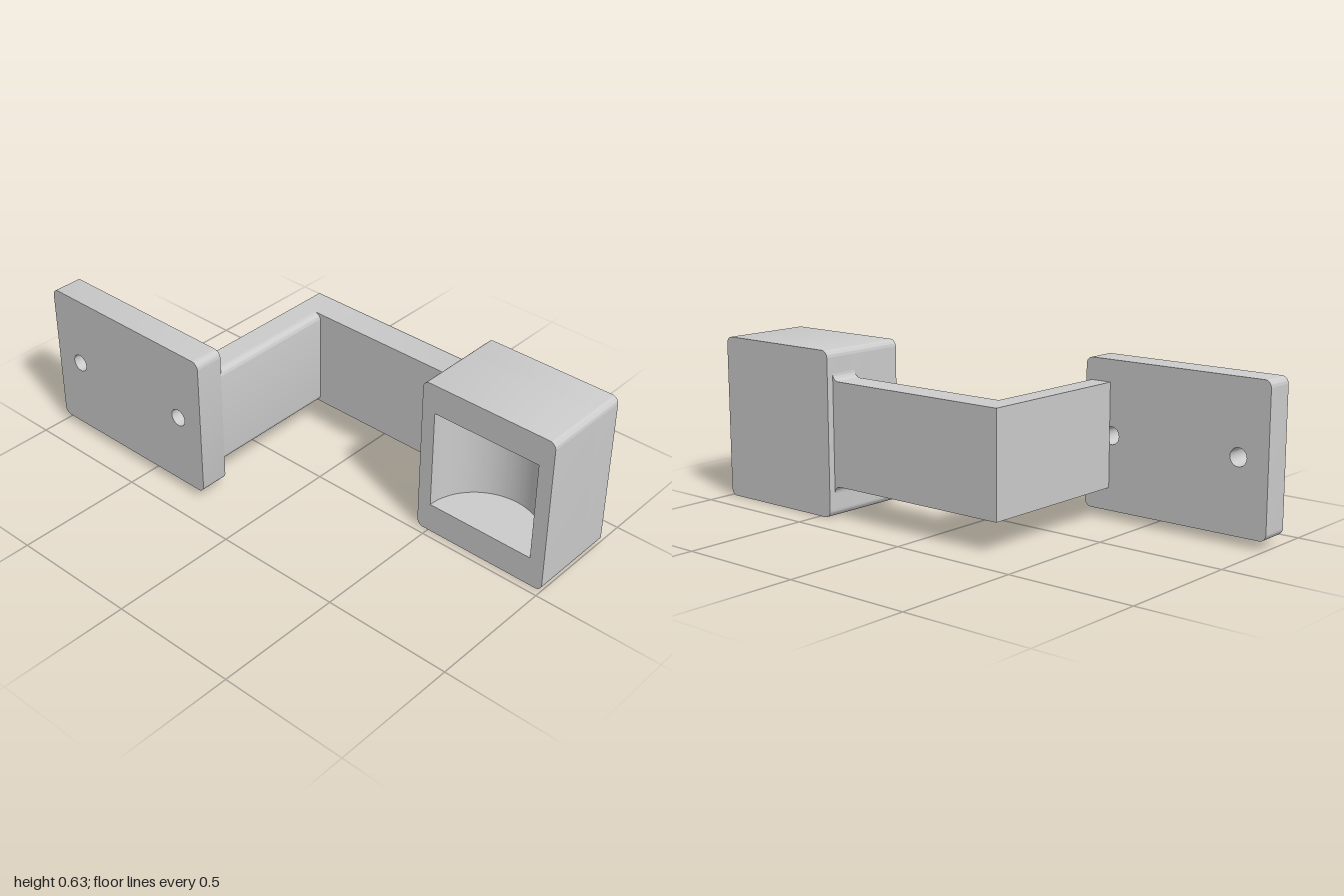
import * as THREE from 'three';
import { toCreasedNormals } from 'three/addons/utils/BufferGeometryUtils.js';

const material = new THREE.MeshStandardMaterial({ color: 0xcccccc });
const R = 0.027; // shared edge radius
const ARM_Y0 = 0.117, ARM_Y1 = 0.512;

// Rectangle with separate radii for its left and right corners
function roundedRect(x0, y0, x1, y1, rl, rr) {
  const s = new THREE.Shape();
  s.moveTo(x0 + rl, y0);
  s.lineTo(x1 - rr, y0);
  if (rr) s.absarc(x1 - rr, y0 + rr, rr, -Math.PI / 2, 0, false);
  s.lineTo(x1, y1 - rr);
  if (rr) s.absarc(x1 - rr, y1 - rr, rr, 0, Math.PI / 2, false);
  s.lineTo(x0 + rl, y1);
  if (rl) s.absarc(x0 + rl, y1 - rl, rl, Math.PI / 2, Math.PI, false);
  s.lineTo(x0, y0 + rl);
  if (rl) s.absarc(x0 + rl, y0 + rl, rl, Math.PI, Math.PI * 1.5, false);
  return s;
}

function extrude(shape, from, to, curveSegments = 12) {
  const g = new THREE.ExtrudeGeometry(shape, { depth: to - from, bevelEnabled: false, curveSegments });
  g.translate(0, 0, from);
  return g;
}

function part(name, geometry) {
  const mesh = new THREE.Mesh(toCreasedNormals(geometry, 0.6), material);
  mesh.name = name;
  return mesh;
}

export function createModel() {
  const model = new THREE.Group();
  model.name = 'offsetBracket';

  // Mounting plate with two screw holes
  const plate = roundedRect(-1, 0.031, -0.224, 0.596, R, R);
  for (const x of [-0.88, -0.34]) {
    const hole = new THREE.Path();
    hole.absarc(x, 0.314, 0.034, 0, Math.PI * 2, true);
    plate.holes.push(hole);
  }
  model.add(part('mountingPlate', extrude(plate, 0.277, 0.39)));

  // Web running back from the plate, rounded along its inner edges
  const web = roundedRect(-0.332, ARM_Y0, -0.224, ARM_Y1, 0, R);
  model.add(part('web', extrude(web, -0.25, 0.277)));

  // Arm across the back, flaring where it meets the holder
  const arm = new THREE.Shape();
  arm.moveTo(-0.332, ARM_Y0);
  arm.lineTo(0.45 - R, ARM_Y0);
  arm.absarc(0.45 - R, ARM_Y0 - R, R, Math.PI / 2, 0, true);
  arm.lineTo(0.45, ARM_Y1 + R);
  arm.absarc(0.45 - R, ARM_Y1 + R, R, 0, -Math.PI / 2, true);
  arm.lineTo(-0.332, ARM_Y1);
  model.add(part('arm', extrude(arm, -0.363, -0.25)));

  // Holder block: solid back, framed front and half-round pocket
  const x0 = 0.45, x1 = 1, top = 0.626;
  const px0 = 0.505, px1 = 0.942, front = -0.03, mid = -0.27, back = -0.39;
  const holder = new THREE.Group();
  holder.name = 'holder';
  holder.add(part('holderBack', extrude(roundedRect(x0, 0, x1, top, R, R), back, mid)));

  const frame = roundedRect(x0, 0, x1, top, R, R);
  const opening = new THREE.Path();
  opening.moveTo(px0, ARM_Y0);
  opening.lineTo(px0, ARM_Y1);
  opening.lineTo(px1, ARM_Y1);
  opening.lineTo(px1, ARM_Y0);
  frame.holes.push(opening);
  holder.add(part('holderFrame', extrude(frame, mid, front)));

  // Pocket lining, drawn in plan and raised along y
  const lining = new THREE.Shape();
  lining.moveTo(px0, -front);
  lining.lineTo(px0, -mid);
  lining.lineTo(px1, -mid);
  lining.lineTo(px1, -front);
  lining.absarc((px0 + px1) / 2, -front, (px1 - px0) / 2, 0, Math.PI, false);
  const liningGeometry = extrude(lining, ARM_Y0, ARM_Y1, 40);
  liningGeometry.rotateX(-Math.PI / 2);
  holder.add(part('pocketLining', liningGeometry));
  model.add(holder);

  return model;
}
